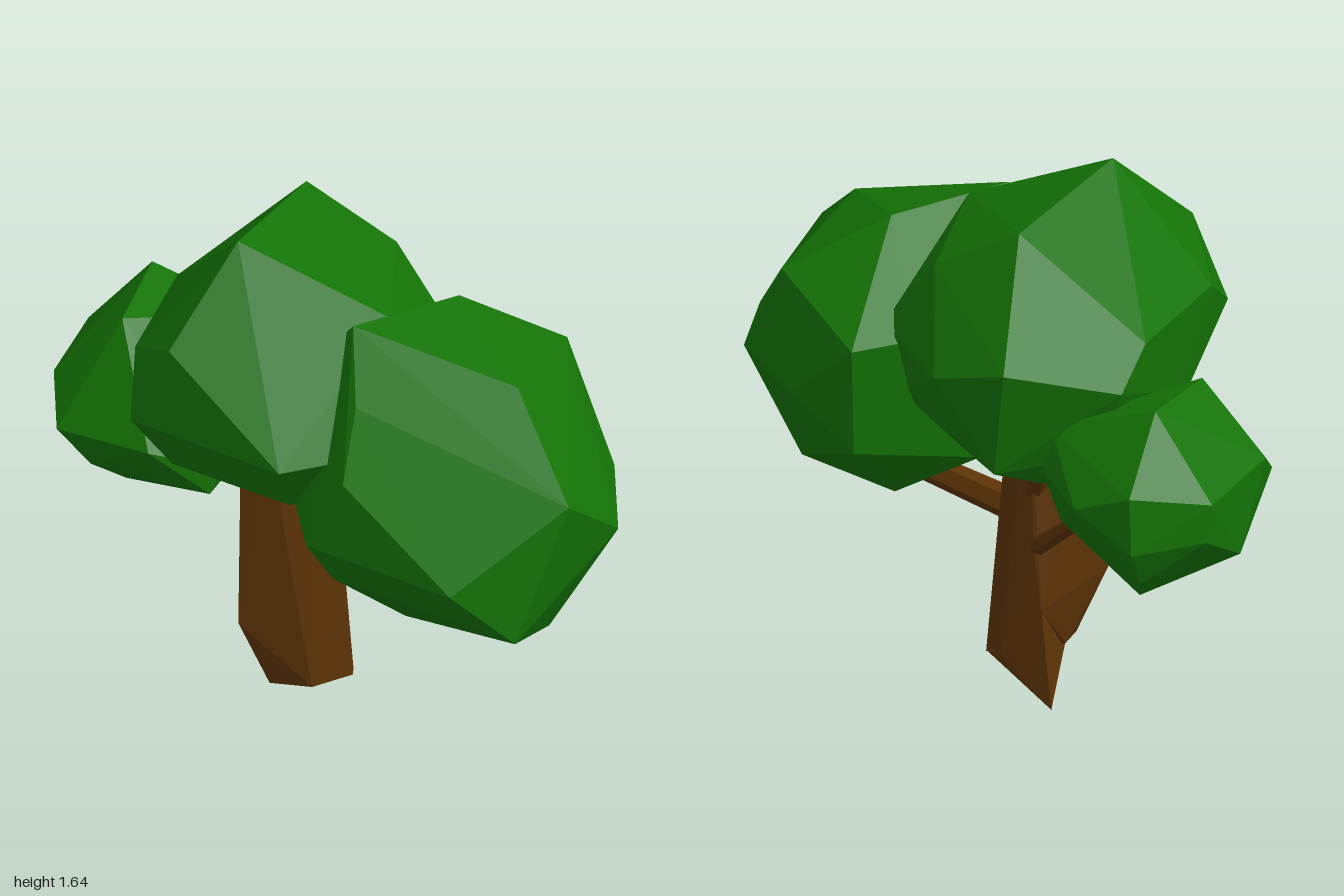
import * as THREE from 'three';
import { ConvexGeometry } from 'three/addons/geometries/ConvexGeometry.js';

const leaf = new THREE.MeshStandardMaterial({ color: 0x147306, flatShading: true });
const bark = new THREE.MeshStandardMaterial({ color: 0x5c3306, flatShading: true });

const vec = (p) => new THREE.Vector3(...p);

function add(parent, name, geometry, material) {
  const mesh = new THREE.Mesh(geometry, material);
  mesh.name = name;
  parent.add(mesh);
  return mesh;
}

// Faceted solid wrapped around a handful of corner points
const hull = (points) => new ConvexGeometry(points.map(vec));

// Tapered six-sided limb between two points
function limb(parent, name, from, to, r0, r1) {
  const a = vec(from), b = vec(to);
  const dir = b.clone().sub(a);
  const mesh = add(parent, name, new THREE.CylinderGeometry(r1, r0, dir.length(), 6), bark);
  mesh.position.copy(a).add(b).multiplyScalar(0.5);
  mesh.quaternion.setFromUnitVectors(new THREE.Vector3(0, 1, 0), dir.normalize());
}

export function createModel() {
  const tree = new THREE.Group();
  tree.name = 'tree';

  // Broad trunk, running up into the middle crown
  add(tree, 'trunk', hull([
    [-0.16, 0.13, -0.08], [-0.07, 0.13, 0.01], [0.08, 0.125, 0], [0.12, 0.11, -0.06],
    [0.1, 0.13, -0.12], [-0.1, 0.13, -0.14],
    [-0.25, 0.34, -0.11], [0.01, 0.29, -0.215], [0.02, 0.48, -0.18],
    [-0.26, 1, -0.08], [-0.2, 1, -0.035], [-0.05, 1, -0.025],
    [0.03, 1, -0.045], [0, 1, -0.11], [-0.2, 1, -0.12],
  ]), bark);

  // Pointed root at the back
  add(tree, 'root', hull([
    [0.01, 0, -0.29], [0.12, 0.115, -0.07], [0.1, 0.13, -0.12], [-0.12, 0.13, -0.1],
    [0.01, 0.285, -0.217], [0, 0.13, -0.06],
  ]), bark);

  // Branches
  limb(tree, 'frontBranch', [0, 0.55, -0.06], [0.27, 0.63, 0.32], 0.05, 0.04);
  limb(tree, 'backBranch', [0, 0.46, -0.14], [0.01, 0.75, -0.55], 0.03, 0.022);
  limb(tree, 'upperBranch', [-0.01, 0.62, -0.1], [0.04, 0.96, -0.35], 0.042, 0.03);

  // Front crown
  add(tree, 'frontFoliage', hull([
    [-0.1, 1.45, 0.28], [0.29, 1.43, 0.25], [0.59, 1.26, 0.37], [0.55, 1.17, -0.06],
    [0.38, 1.17, -0.06], [0.23, 1.32, 0.66], [0.19, 1.08, 1], [-0.2, 1.28, 0.45],
    [-0.31, 1.1, 0.55], [-0.38, 0.88, 0.46], [-0.18, 0.855, 0.93], [0.44, 0.89, 0.88],
    [0.62, 0.92, 0.58], [0.64, 0.94, 0.2], [0.54, 0.76, 0.36], [0.49, 0.595, 0.45],
    [0.44, 0.71, 0.74], [0.3, 0.55, 0.2], [0.015, 0.67, 0.98], [0, 0.52, 0.41],
    [0.27, 0.57, 0.77], [-0.26, 0.72, 0.42], [0.1, 0.7, 0.03], [0.53, 0.82, -0.03],
    [-0.1, 1.17, 0], [-0.22, 0.9, 0.12],
  ]), leaf);

  // Middle crown
  add(tree, 'topFoliage', hull([
    [-0.29, 1.64, -0.05], [0.13, 1.6, -0.33], [0.31, 1.44, -0.12], [-0.57, 1.38, 0.01],
    [-0.52, 1.27, -0.25], [-0.64, 1.13, -0.09], [-0.43, 1.1, 0.39], [-0.2, 1.1, 0.43],
    [0.03, 1.44, 0.28], [0.4, 1.18, 0.07], [0.42, 1.2, -0.37], [0.3, 1.29, -0.61],
    [-0.06, 1.18, -0.65], [-0.18, 1.28, -0.55], [-0.5, 0.95, -0.08], [-0.42, 0.97, -0.3],
    [-0.05, 0.94, -0.55], [0.3, 0.94, -0.54], [0.1, 0.83, -0.45], [-0.08, 0.78, -0.28],
    [0.3, 0.92, -0.27], [-0.3, 0.85, -0.1], [-0.3, 0.9, 0.25], [0.1, 0.84, 0.1],
    [0.34, 0.95, 0.05],
  ]), leaf);

  // Small back crown
  add(tree, 'backFoliage', hull([
    [-0.1, 1.19, -0.81], [-0.34, 1.16, -0.6], [0.12, 1.07, -0.54], [-0.2, 0.95, -1],
    [0.05, 1, -0.965], [-0.18, 0.83, -1], [0.05, 0.82, -0.98], [0.16, 0.92, -0.81],
    [0.14, 0.92, -0.51], [-0.55, 0.84, -0.63], [-0.47, 0.95, -0.77], [-0.41, 0.84, -0.35],
    [-0.1, 0.86, -0.36], [-0.45, 0.71, -0.6], [-0.35, 0.7, -0.86], [-0.28, 0.585, -0.67],
    [-0.05, 0.6, -0.81], [0, 0.7, -0.93], [-0.08, 0.6, -0.53], [-0.24, 0.69, -0.28],
    [0.06, 0.715, -0.48], [-0.2, 0.77, -0.27],
  ]), leaf);

  return tree;
}
